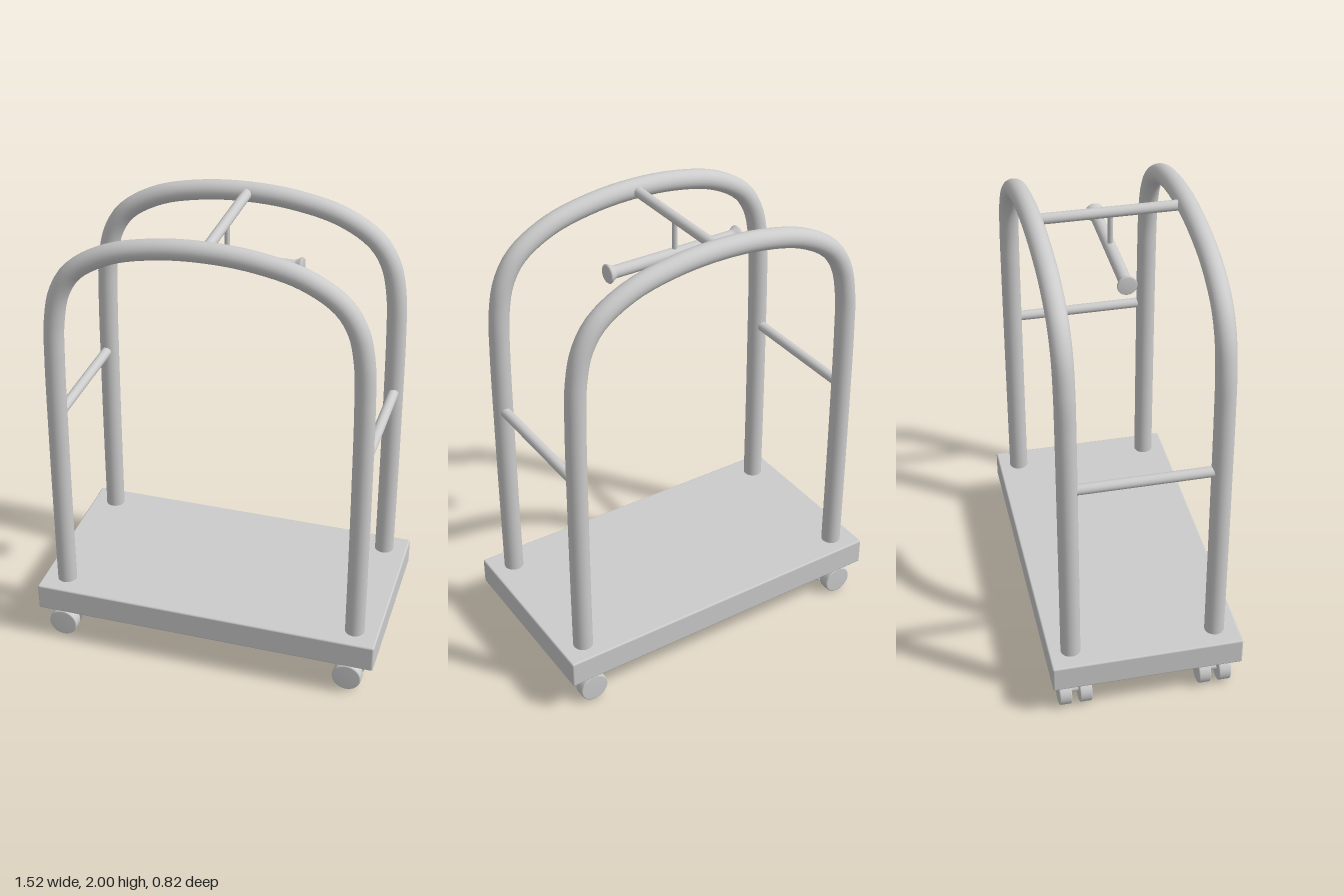
import * as THREE from 'three';
import { RoundedBoxGeometry } from 'three/addons/geometries/RoundedBoxGeometry.js';

const material = new THREE.MeshStandardMaterial({ color: 0xcccccc });
const FRONT_Z = 0.305, BACK_Z = -0.316;

function add(parent, name, geometry, x = 0, y = 0, z = 0) {
  const mesh = new THREE.Mesh(geometry, material);
  mesh.name = name;
  mesh.position.set(x, y, z);
  parent.add(mesh);
  return mesh;
}

// Cylinder lying along z
const zBar = (radius, length) =>
  new THREE.CylinderGeometry(radius, radius, length, 32).rotateX(Math.PI / 2);

// Arched tube: one half of the centre line, mirrored
function archGeometry() {
  const half = [[0.656, 0.25], [0.655, 0.6], [0.652, 1.0], [0.646, 1.4], [0.637, 1.57],
    [0.606, 1.71], [0.54, 1.81], [0.395, 1.897], [0.2, 1.944]];
  const points = [
    ...half.map(([x, y]) => new THREE.Vector3(-x, y, 0)),
    new THREE.Vector3(0, 1.958, 0),
    ...half.map(([x, y]) => new THREE.Vector3(x, y, 0)).reverse(),
  ];
  return new THREE.TubeGeometry(new THREE.CatmullRomCurve3(points), 120, 0.042, 24);
}

// Twin-wheel caster with stem
function caster(x, z) {
  const group = new THREE.Group();
  group.name = 'caster';
  const r = 0.064, w = 0.027, b = 0.006;
  const profile = [[0, -w], [r - b, -w], [r - b * 0.3, -w + b * 0.3], [r, -w + b],
    [r, w - b], [r - b * 0.3, w - b * 0.3], [r - b, w], [0, w]]
    .map(([px, py]) => new THREE.Vector2(px, py));
  for (const side of [-1, 1]) {
    add(group, 'wheel', new THREE.LatheGeometry(profile, 36).rotateX(Math.PI / 2), 0, 0.066, side * 0.044);
  }
  add(group, 'axle', zBar(0.017, 0.08), 0, 0.066, 0);
  add(group, 'stem', new THREE.CylinderGeometry(0.008, 0.008, 0.11, 16), 0, 0.12, 0);
  group.position.set(x, 0, z);
  return group;
}

export function createModel() {
  const model = new THREE.Group();
  model.name = 'luggageCart';

  // Deck
  add(model, 'platform', new RoundedBoxGeometry(1.52, 0.122, 0.816, 3, 0.008), 0, 0.22, -0.002);

  // Front and back arches
  const arch = archGeometry();
  add(model, 'frontArch', arch, 0, 0, FRONT_Z);
  add(model, 'backArch', arch, 0, -0.004, BACK_Z);

  // Bars joining the two arches
  const length = FRONT_Z - BACK_Z, midZ = (FRONT_Z + BACK_Z) / 2;
  for (const x of [-0.652, 0.656]) add(model, 'sideBar', zBar(0.022, length), x, 1.12, midZ);
  add(model, 'topBar', zBar(0.022, length), -0.004, 1.957, midZ);

  // Hanging rail with flared ends
  add(model, 'railHanger', new THREE.CylinderGeometry(0.011, 0.011, 0.15, 16), -0.004, 1.88, -0.003);
  const rail = [[0, -0.311], [0.036, -0.311], [0.04, -0.306], [0.039, -0.3], [0.03, -0.286], [0.026, -0.275],
    [0.026, 0.275], [0.03, 0.286], [0.039, 0.3], [0.04, 0.306], [0.036, 0.311], [0, 0.311]]
    .map(([px, py]) => new THREE.Vector2(px, py));
  add(model, 'hangingRail', new THREE.LatheGeometry(rail, 32).rotateZ(Math.PI / 2), 0, 1.797, -0.003);

  // Casters under the corners
  for (const x of [-0.665, 0.641]) {
    for (const z of [0.3, -0.307]) model.add(caster(x, z));
  }
  return model;
}
